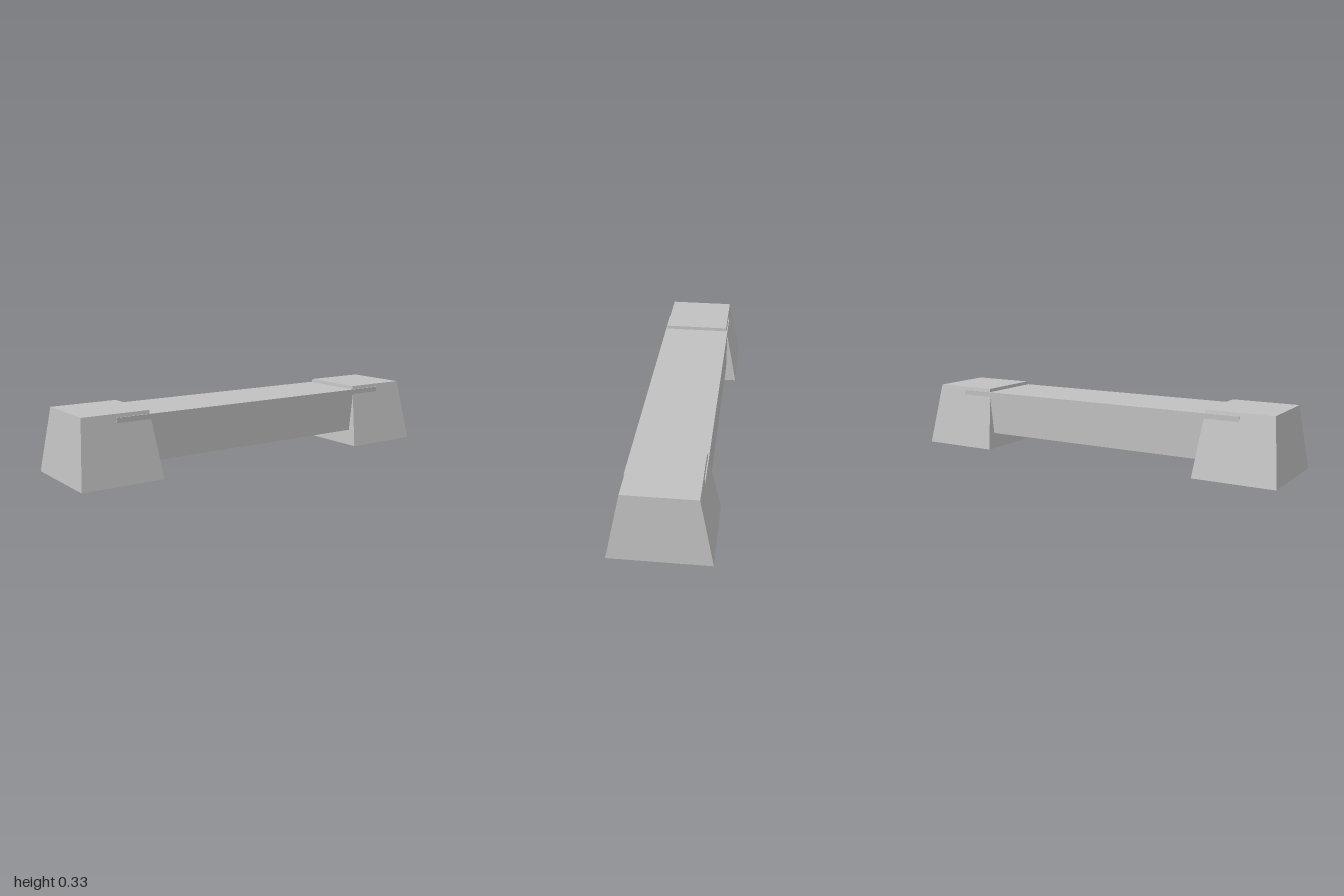
import * as THREE from 'three';

const stone = new THREE.MeshStandardMaterial({ color: 0xc0c0c0 });
stone.name = 'grey stone';

// Box standing on y = 0 whose top is narrowed to the given width and depth
function taperedBox(width, height, depth, topWidth, topDepth) {
  const geometry = new THREE.BoxGeometry(width, height, depth);
  geometry.translate(0, height / 2, 0);
  const p = geometry.attributes.position;
  for (let i = 0; i < p.count; i++) {
    if (p.getY(i) > height / 2) {
      p.setX(i, p.getX(i) * topWidth / width);
      p.setZ(i, p.getZ(i) * topDepth / depth);
    }
  }
  const flat = geometry.toNonIndexed();
  flat.computeVertexNormals();
  return flat;
}

function addPart(parent, name, geometry, x, y, z) {
  const mesh = new THREE.Mesh(geometry, stone);
  mesh.name = name;
  mesh.position.set(x, y, z);
  parent.add(mesh);
  return mesh;
}

export function createModel() {
  const model = new THREE.Group();
  model.name = 'bench';

  // Seat beam, running into both end blocks
  addPart(model, 'seat', new THREE.BoxGeometry(1.59, 0.22, 0.354), 0, 0.2, 0);

  // Tapered end blocks, each on a thin octagonal foot
  const blockGeometry = taperedBox(0.41, 0.317, 0.467, 0.336, 0.337);
  const footGeometry = new THREE.CylinderGeometry(0.168, 0.168, 0.01, 8).toNonIndexed();
  footGeometry.computeVertexNormals();
  for (const [side, sign] of [['left', 1], ['right', -1]]) {
    const end = new THREE.Group();
    end.name = side + 'End';
    end.position.x = sign * 0.795;
    addPart(end, side + 'Block', blockGeometry, 0, 0.01, 0);
    addPart(end, side + 'Foot', footGeometry, 0, 0.005, 0);
    model.add(end);
  }
  return model;
}
